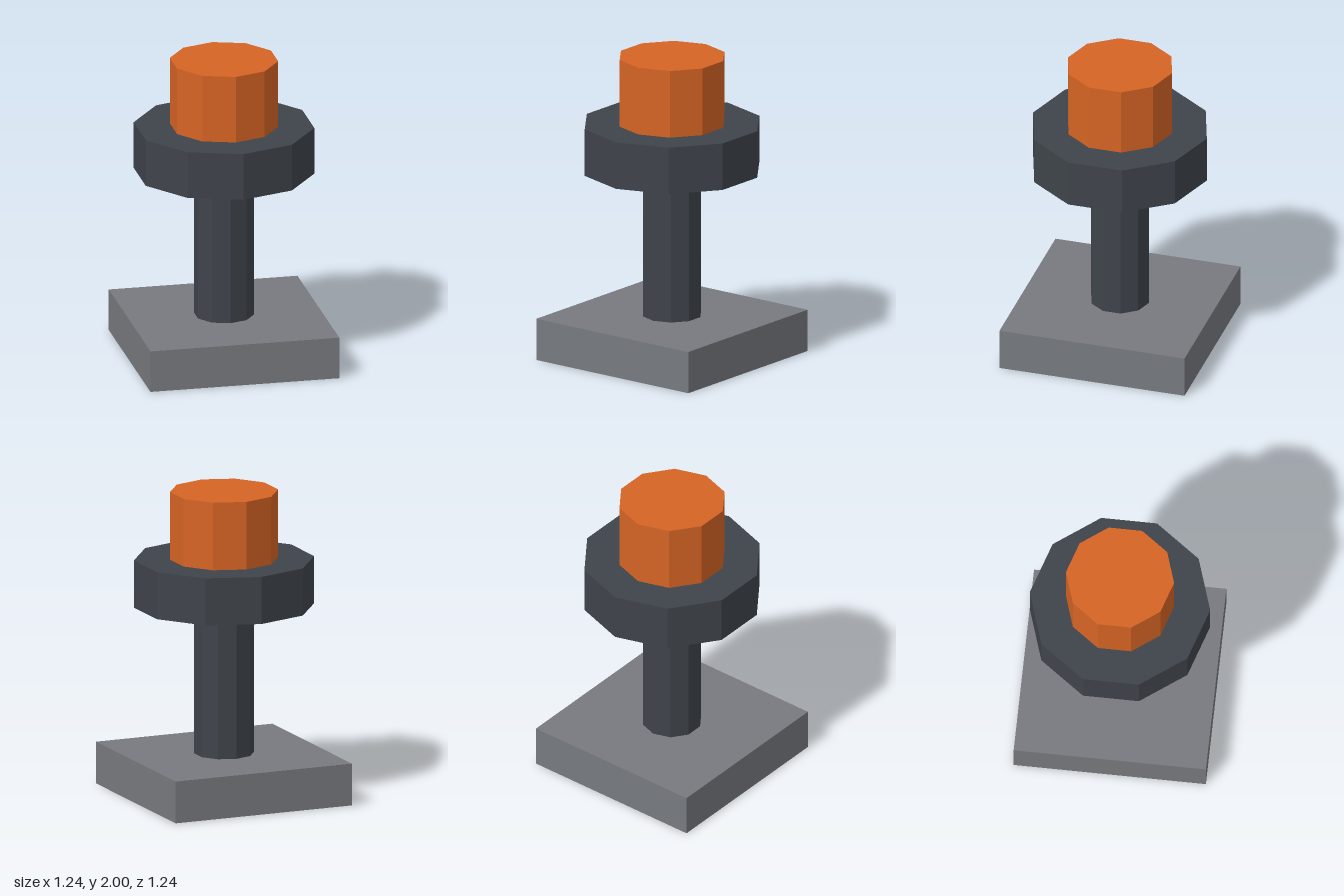
import * as THREE from 'three';

const flat = (name, color) => {
  const material = new THREE.MeshStandardMaterial({ color, flatShading: true });
  material.name = name;
  return material;
};

export function createModel() {
  const group = new THREE.Group();
  group.name = 'pedestalButton';

  const grey = flat('base grey', 0x777a7f);
  const dark = flat('dark steel', 0x3f444b);
  const orange = flat('button orange', 0xd66424);

  // Places a geometry so that it spans from bottom to top
  const add = (name, geometry, material, bottom, top) => {
    const mesh = new THREE.Mesh(geometry, material);
    mesh.name = name;
    mesh.position.y = (bottom + top) / 2;
    group.add(mesh);
  };

  // Ten-sided drum with a corner facing the front
  const drum = (name, radius, material, bottom, top) =>
    add(name, new THREE.CylinderGeometry(radius, radius, top - bottom, 10), material, bottom, top);

  // Square foot
  add('basePlate', new THREE.BoxGeometry(1.24, 0.275, 1.24), grey, 0, 0.275);

  // Post, collar and button stacked on the foot
  drum('post', 0.193, dark, 0.275, 1.245);
  drum('collar', 0.582, dark, 1.245, 1.555);
  drum('button', 0.349, orange, 1.555, 2);

  return group;
}
